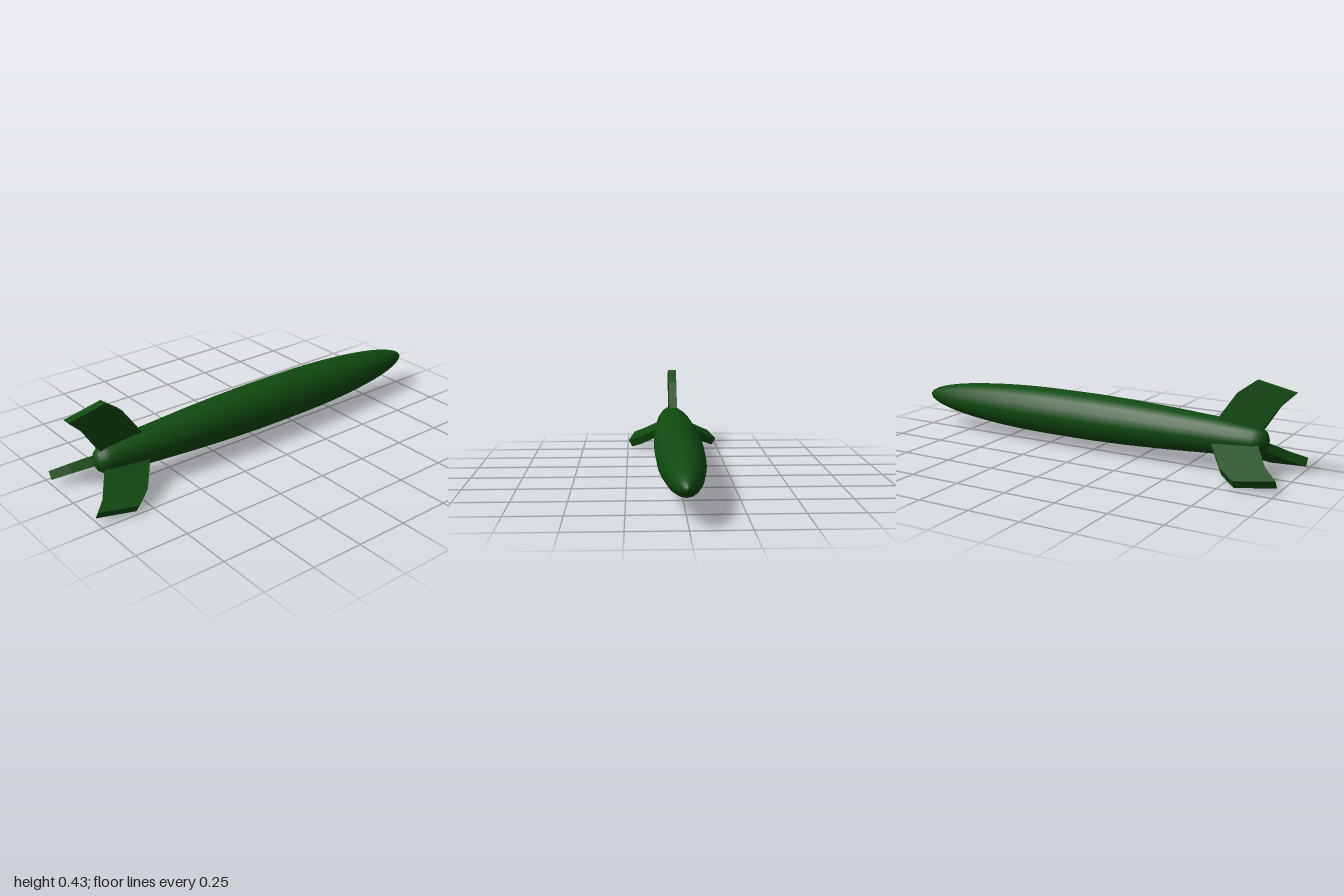
import * as THREE from 'three';

export function createModel() {
  const model = new THREE.Group();
  model.name = 'rocket';
  const green = new THREE.MeshStandardMaterial({ color: 0x104a10 });
  green.name = 'dark green';

  // Hull: elliptical nose, long gentle taper, rounded tail
  const profile = [];
  const noseSteps = 14;
  for (let i = 0; i <= noseSteps; i++) {
    const a = (i / noseSteps) * Math.PI / 2;
    profile.push(new THREE.Vector2(0.114 * Math.sin(a), -0.2 - 0.8 * Math.cos(a)));
  }
  const tail = [
    [0.114, 0], [0.109, 0.2], [0.1, 0.4], [0.085, 0.64], [0.071, 0.78], [0.066, 0.825],
    [0.06, 0.85], [0.045, 0.87], [0.024, 0.881], [0, 0.885],
  ];
  tail.forEach(([r, z]) => profile.push(new THREE.Vector2(r, z)));
  const hull = new THREE.Mesh(new THREE.LatheGeometry(profile, 16).rotateX(Math.PI / 2), green);
  hull.name = 'hull';
  hull.position.set(0.004, 0.161, 0);
  model.add(hull);

  // Fin outline in (z, distance from axis), swept backwards
  const outline = [
    [0.65, 0.04], [0.83, 0.03], [0.86, 0.054], [0.93, 0.165],
    [1.0, 0.234], [0.82, 0.272], [0.74, 0.212], [0.65, 0.082],
  ];
  const thickness = 0.042;
  const shape = new THREE.Shape(outline.map(([z, r]) => new THREE.Vector2(z, r)));
  const finGeometry = new THREE.ExtrudeGeometry(shape, { depth: thickness, bevelEnabled: false })
    .translate(0, 0, -thickness / 2)
    .rotateY(-Math.PI / 2);

  // Three fins at 120 degree spacing
  const fins = [['topFin', 0, 0.162], ['leftFin', -1, 0.154], ['rightFin', 1, 0.162]];
  for (const [name, turn, y] of fins) {
    const fin = new THREE.Mesh(finGeometry, green);
    fin.name = name;
    fin.position.y = y;
    fin.rotation.z = turn * Math.PI * 2 / 3;
    model.add(fin);
  }
  return model;
}
